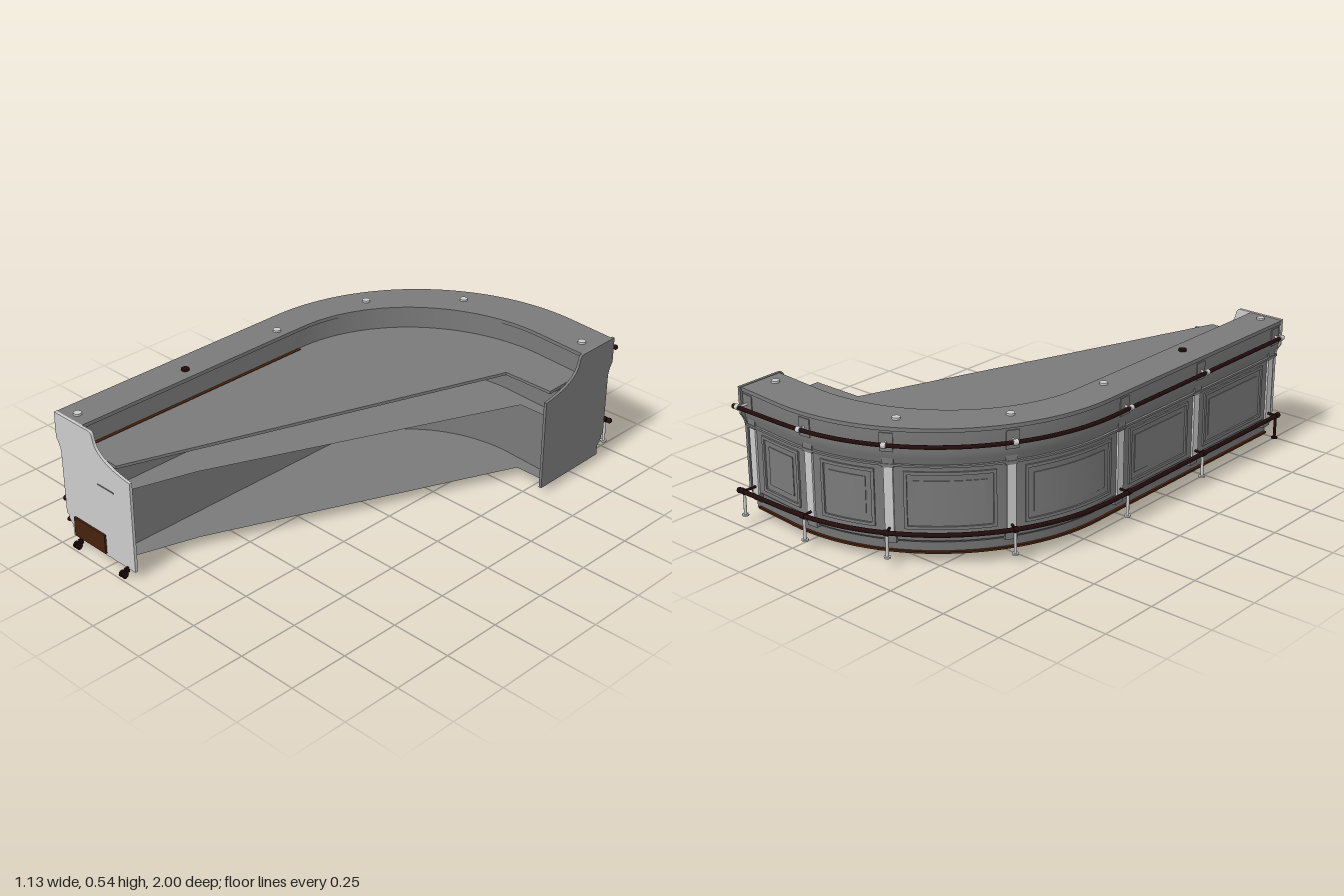
import * as THREE from 'three';
import { toCreasedNormals } from 'three/addons/utils/BufferGeometryUtils.js';

const light = new THREE.MeshStandardMaterial({ color: 0xcccccc });
const grey = new THREE.MeshStandardMaterial({ color: 0x7a7a7a });
const greyThin = new THREE.MeshStandardMaterial({ color: 0x7a7a7a, side: THREE.DoubleSide });
const brown = new THREE.MeshStandardMaterial({ color: 0x46210c, side: THREE.DoubleSide });
const dark = new THREE.MeshStandardMaterial({ color: 0x220c0c });

// Counter path: a straight run, a quarter bend, a short straight run
const R = 0.805, CX = 0.27, CZ = -0.16, Z0 = 0.95;
const L1 = Z0 - CZ, BEND = 1.649, L2 = R * BEND, L3 = 0.218, END = L1 + L2 + L3;

// Point at distance s along the outer edge, moved inward by off
function at(s, off) {
  const a = Math.min(Math.max((s - L1) / R, 0), BEND);
  const tail = Math.max(s - L1 - L2, 0);
  const run = s < L1 ? s - L1 : tail;
  const nx = Math.cos(a), nz = Math.sin(a);
  const k = THREE.MathUtils.smoothstep(a, 0, 1.5);
  const o = off > 0.1 ? off + 0.04 * k : off; // the counter widens around the bend
  return {
    x: CX - R * nx + nz * run + nx * o * (1 - tail / L3), // the far end is cut square
    z: CZ - R * nz - nx * run + nz * o,
    turn: -a
  };
}

function stations(s0, s1, step = 0.035) {
  const n = Math.max(1, Math.ceil((s1 - s0) / step));
  return Array.from({ length: n + 1 }, (_, i) => s0 + (s1 - s0) * i / n);
}

// Sweep a closed [offset, height] profile along the path
function sweep(profile, s0 = 0, s1 = END, caps = false) {
  const pos = [], idx = [], n = profile.length, ss = stations(s0, s1);
  for (const s of ss) for (const [o, y] of profile) {
    const p = at(s, o);
    pos.push(p.x, y, p.z);
  }
  for (let i = 0; i < ss.length - 1; i++) for (let j = 0; j < n; j++) {
    const a = i * n + j, b = i * n + (j + 1) % n;
    idx.push(a, a + n, b, b, a + n, b + n);
  }
  if (caps) {
    const e = (ss.length - 1) * n;
    for (let j = 1; j < n - 1; j++) idx.push(0, j, j + 1, e, e + j + 1, e + j);
  }
  const g = new THREE.BufferGeometry();
  g.setAttribute('position', new THREE.Float32BufferAttribute(pos, 3));
  g.setIndex(idx);
  return toCreasedNormals(g, 0.45);
}

const rect = (o0, o1, y0, y1) => [[o0, y0], [o1, y0], [o1, y1], [o0, y1]];

// Outline in the ground plane from [x, z] points, laid flat at height y
const outline = points => new THREE.Shape(points.map(([x, z]) => new THREE.Vector2(x, -z)));
const sheet = (points, y) => new THREE.ShapeGeometry(outline(points)).rotateX(-Math.PI / 2).translate(0, y, 0);
const pathPoints = off => stations(0.005, END - 0.005).map(s => {
  const p = at(s, off);
  return [p.x, p.z];
});

export function createModel() {
  const model = new THREE.Group();
  model.name = 'curvedCounter';
  const add = (name, geo, mat = grey, parent = model) => {
    const m = new THREE.Mesh(geo, mat);
    m.name = name;
    parent.add(m);
    return m;
  };
  const cyl = (r, h, x, y, z, seg = 14) => new THREE.CylinderGeometry(r, r, h, seg).translate(x, y, z);
  const box = (w, h, d, x, y, z) => new THREE.BoxGeometry(w, h, d).translate(x, y, z);

  // Counter body with moulded outer face, the top slab and the cabinet behind
  add('counterBody', sweep([[0.055, 0.04], [0.145, 0.04], [0.145, 0.522], [0.008, 0.522], [0.008, 0.44],
    [0.013, 0.415], [0.022, 0.395], [0.026, 0.37], [0.026, 0.12], [0.034, 0.11], [0.036, 0.09], [0.05, 0.078]]));
  add('counterTop', sweep(rect(0, 0.15, 0.52, 0.535), 0, END, true));
  add('corniceBead', sweep(rect(0.012, 0.03, 0.382, 0.39), 0, END, true));
  add('innerCabinet', sweep(rect(0.145, 0.29, 0.044, 0.43), 0, END, true));

  // Work surface, shelf and floor, each reaching the open inner side
  const inner = pathPoints(0.143);
  const workEdge = [[0.55, -0.57], [0.33, -0.57], [-0.2, Z0]];
  const floorEdge = [[0.55, -0.57], [0.41, -0.57], [-0.11, 0.65], [-0.2, Z0]];
  add('workSurface', new THREE.ExtrudeGeometry(outline([...inner, ...workEdge]), { depth: 0.012, bevelEnabled: false })
    .rotateX(-Math.PI / 2).translate(0, 0.43, 0));
  add('shelf', sheet([...inner, ...floorEdge], 0.328), greyThin);
  add('floor', sheet([...inner, ...floorEdge], 0.042), greyThin);
  add('workSurfaceTrim', sweep(rect(0.145, 0.158, 0.435, 0.444), 0, L1 - 0.02, true), brown);

  // Brown base board
  const base = [...pathPoints(0.05), [0.535, -0.58], [0.27, -0.645], [-0.24, -0.23], [-0.25, Z0]];
  add('baseBoard', sheet(base, 0.036), brown);
  add('baseEdge', sweep(rect(0.044, 0.06, 0.034, 0.042), 0, END - 0.01), brown);

  // End panels share one silhouette
  const side = new THREE.Shape();
  side.moveTo(0.06, 0.03);
  side.lineTo(0.42, 0.03);
  side.lineTo(0.42, 0.41);
  side.bezierCurveTo(0.33, 0.42, 0.23, 0.445, 0.22, 0.51);
  side.quadraticCurveTo(0.215, 0.537, 0.2, 0.537);
  side.lineTo(0, 0.537);
  side.lineTo(0, 0.43);
  side.quadraticCurveTo(0.024, 0.4, 0.024, 0.37);
  side.lineTo(0.026, 0.115);
  side.lineTo(0.036, 0.11);
  side.quadraticCurveTo(0.038, 0.085, 0.06, 0.075);
  const panelGeo = toCreasedNormals(new THREE.ExtrudeGeometry(side, { depth: 0.012, bevelEnabled: false, curveSegments: 10 }), 0.5);
  add('frontEndPanel', panelGeo, light).position.set(-0.533, 0, Z0);
  const rear = add('rearEndPanel', panelGeo);
  rear.position.set(0.557, 0, -0.952);
  rear.rotation.y = -Math.PI / 2 + 0.02;
  add('kickPlate', box(0.18, 0.08, 0.008, -0.365, 0.08, 0.966), brown);
  add('panelSlot', box(0.09, 0.005, 0.003, -0.255, 0.328, 0.963));

  // Small rollers at the front end
  for (const x of [-0.425, -0.155]) {
    add('rollerStem', box(0.008, 0.024, 0.02, x, 0.025, 0.968), dark);
    for (const d of [-0.008, 0.008])
      add('roller', new THREE.CylinderGeometry(0.014, 0.014, 0.008, 14).rotateZ(Math.PI / 2).translate(x + d, 0.014, 0.984), dark);
  }

  // Hand rail and foot rail, running straight past the bend
  for (const [name, y, r] of [['handRail', 0.475, 0.008], ['footRail', 0.14, 0.009]]) {
    const pts = stations(0.025, END - 0.01, 0.05).map(s => {
      const p = at(s, -0.022);
      return new THREE.Vector3(p.x, y, p.x > CX ? -0.988 : p.z);
    });
    add(name, new THREE.TubeGeometry(new THREE.CatmullRomCurve3(pts), 120, r, 10), dark);
    for (const p of [pts[0], pts[pts.length - 1]])
      add(name + 'End', new THREE.SphereGeometry(r * 1.3, 12, 8).translate(p.x, p.y, p.z), dark);
  }

  // Pilasters with rail brackets and legs
  const posts = [0.035, 0.54, 1.01, 1.527, 1.976, 2.307, END - 0.03];
  posts.forEach((s, i) => {
    const g = new THREE.Group(), p = at(s, 0);
    const reach = i === posts.length - 1 ? -0.038 : -0.022;
    g.name = 'pilaster';
    g.position.set(p.x, 0, p.z);
    g.rotation.y = p.turn;
    model.add(g);
    add('pilasterShaft', box(0.014, 0.27, 0.034, 0.025, 0.245, 0), light, g);
    add('pilasterFoot', box(0.024, 0.04, 0.046, 0.036, 0.1, 0), grey, g);
    add('pilasterCorbel', box(0.024, 0.05, 0.044, 0.027, 0.4, 0), grey, g);
    add('pilasterCap', box(0.02, 0.07, 0.05, 0.014, 0.475, 0), grey, g);
    for (const [y, mat] of [[0.475, light], [0.14, dark]]) {
      add('bracketArm', new THREE.CylinderGeometry(0.005, 0.005, 0.03 - reach, 10).rotateZ(Math.PI / 2).translate((0.03 + reach) / 2, y, 0), mat, g);
      add('bracketRing', new THREE.CylinderGeometry(0.0115, 0.0115, 0.018, 14).rotateX(Math.PI / 2).translate(reach, y, 0), mat, g);
    }
    const legMat = i === 0 ? dark : light;
    add('railLeg', cyl(0.006, 0.1, reach + 0.004, 0.09, 0), legMat, g);
    add('railLegFoot', cyl(0.013, 0.006, reach + 0.004, 0.043, 0), legMat, g);
  });

  // Framed panels between the pilasters
  for (let i = 0; i < posts.length - 1; i++) {
    const a = posts[i] + 0.055, b = posts[i + 1] - 0.055;
    const bar = (y0, y1, s0, s1, o = 0.019) => add('panelFrame', sweep(rect(o, 0.03, y0, y1), s0, s1, true));
    bar(0.14, 0.152, a, b);
    bar(0.35, 0.362, a, b);
    bar(0.152, 0.35, a, a + 0.012);
    bar(0.152, 0.35, b - 0.012, b);
    bar(0.175, 0.327, a + 0.035, b - 0.035, 0.023);
  }

  // Round caps set in the counter top
  [[-0.46, 0.91], [-0.44, 0.41], [-0.43, -0.06], [-0.365, -0.5], [-0.09, -0.79], [0.49, -0.83]].forEach(([x, z], i) =>
    add('topCap', cyl(0.016, 0.01, x, 0.538, z, 18), i === 1 ? dark : light));

  return model;
}
